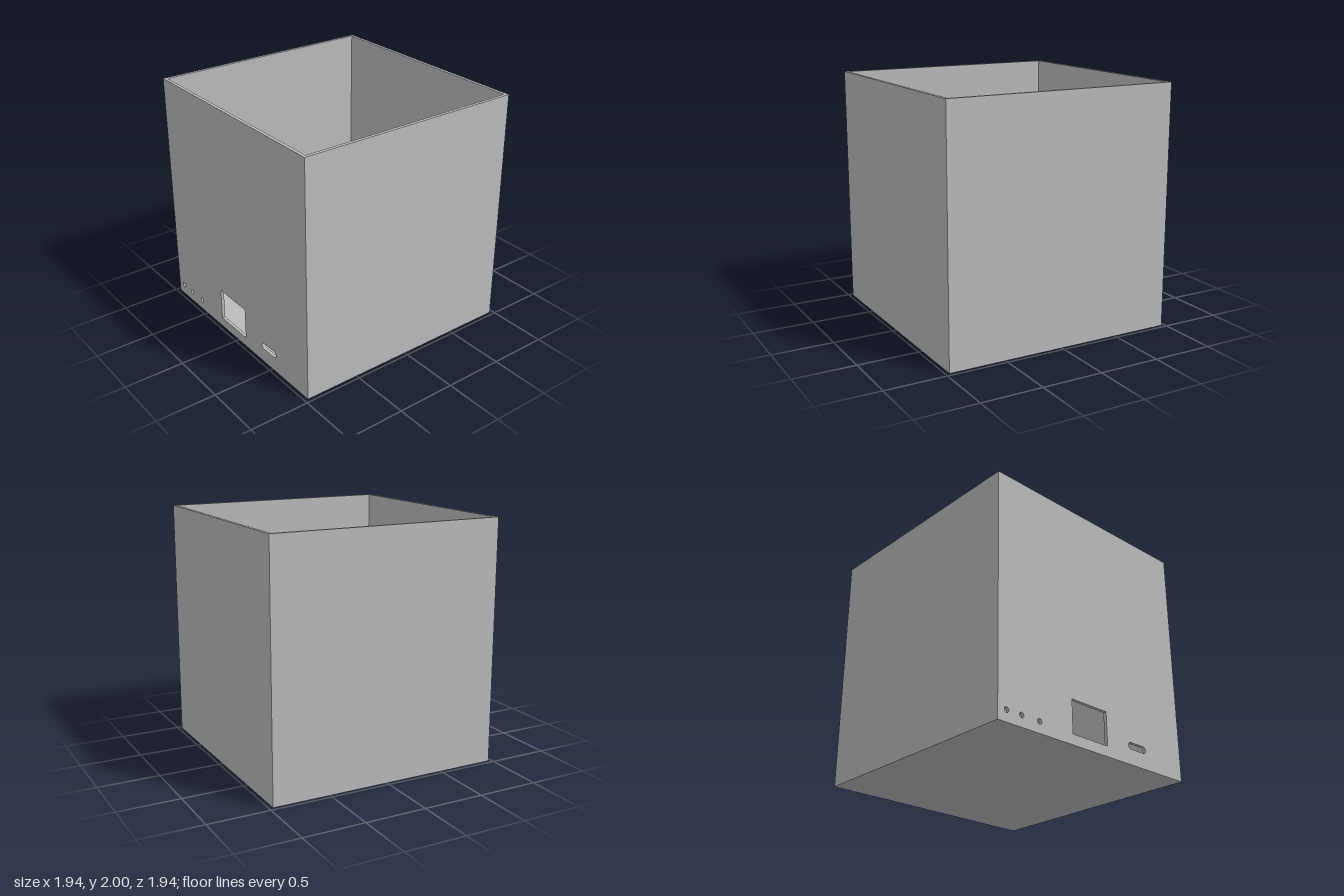
import * as THREE from 'three';

const HALF = 0.97, HEIGHT = 2, WALL = 0.027;

// Closed slot outline: two half circles joined by straight edges (a circle when x0 equals x1)
function slotPath(x0, x1, y, r) {
  const p = new THREE.Path();
  p.absarc(x1, y, r, -Math.PI / 2, Math.PI / 2, false);
  p.absarc(x0, y, r, Math.PI / 2, Math.PI * 1.5, false);
  p.closePath();
  return p;
}

function rectangle(target, x0, y0, x1, y1) {
  target.moveTo(x0, y0);
  target.lineTo(x1, y0);
  target.lineTo(x1, y1);
  target.lineTo(x0, y1);
  target.closePath();
  return target;
}

export function createModel() {
  const group = new THREE.Group();
  group.name = 'openBox';
  const grey = new THREE.MeshStandardMaterial({ color: 0xbbbbbb });
  grey.name = 'plain grey';

  const add = (name, geometry, x, y, z) => {
    const mesh = new THREE.Mesh(geometry, grey);
    mesh.name = name;
    mesh.position.set(x, y, z);
    group.add(mesh);
  };

  // Front wall with a display window, a connector slot and three round holes
  const front = rectangle(new THREE.Shape(), -HALF, 0, HALF, HEIGHT);
  front.holes.push(rectangle(new THREE.Path(), -0.25, 0.083, 0.115, 0.355));
  front.holes.push(slotPath(0.381, 0.522, 0.153, 0.027));
  for (const x of [-0.89, -0.75, -0.58]) {
    const hole = new THREE.Path();
    hole.absarc(x, 0.09, 0.021, 0, Math.PI * 2, false);
    front.holes.push(hole);
  }
  add('frontWall', new THREE.ExtrudeGeometry(front, {
    depth: WALL, bevelEnabled: false, curveSegments: 16,
  }), 0, 0, HALF - WALL);

  // Plain back and side walls
  const inner = 2 * (HALF - WALL);
  add('backWall', new THREE.BoxGeometry(2 * HALF, HEIGHT, WALL), 0, HEIGHT / 2, -HALF + WALL / 2);
  for (const [name, side] of [['leftWall', 1], ['rightWall', -1]]) {
    add(name, new THREE.BoxGeometry(WALL, HEIGHT, inner), side * (HALF - WALL / 2), HEIGHT / 2, 0);
  }

  // Floor between the walls
  add('floor', new THREE.BoxGeometry(inner, WALL, inner), 0, WALL / 2, 0);

  return group;
}
